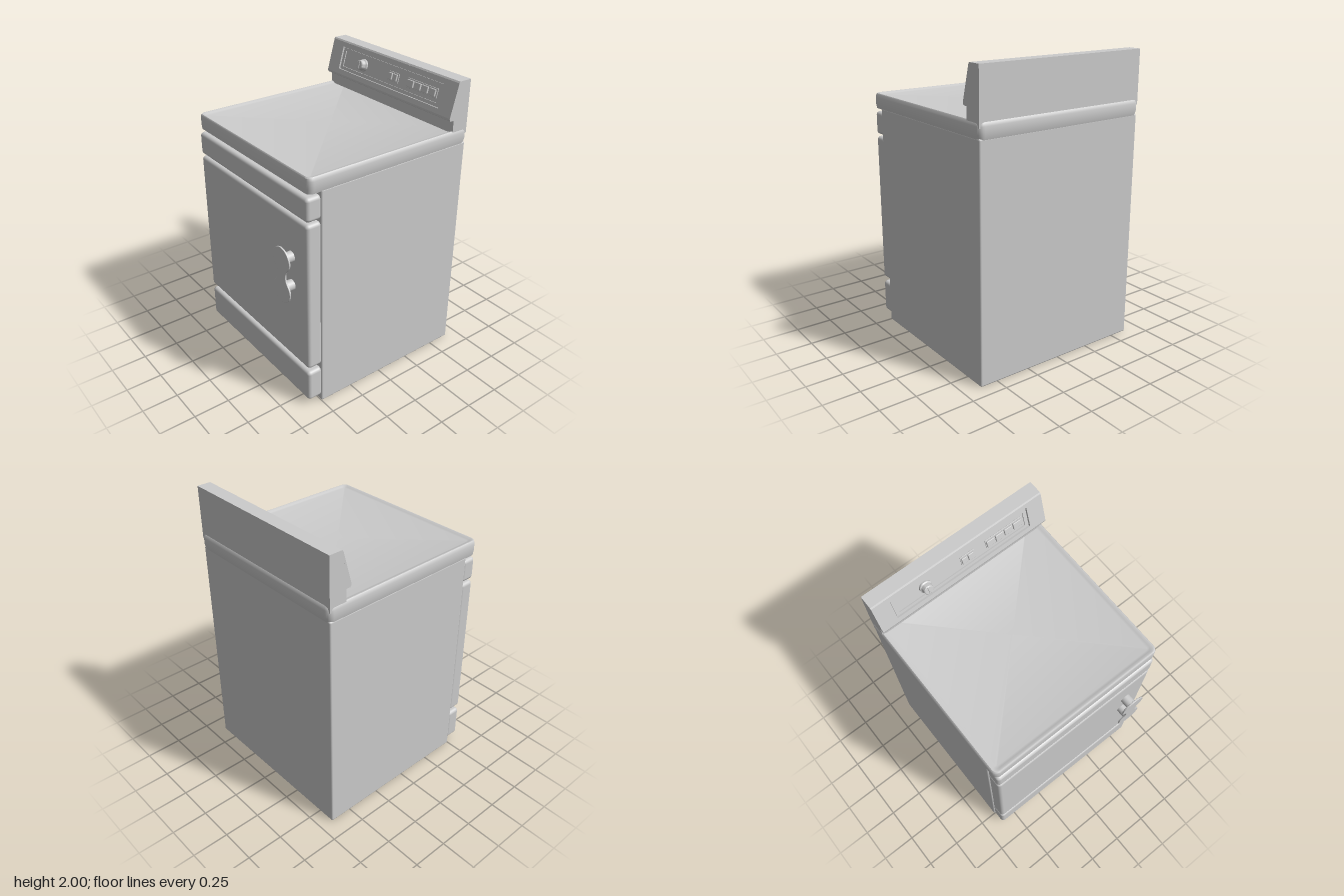
import * as THREE from 'three';
import { toCreasedNormals } from 'three/addons/utils/BufferGeometryUtils.js';
import { RoundedBoxGeometry } from 'three/addons/geometries/RoundedBoxGeometry.js';

const grey = new THREE.MeshStandardMaterial({ color: 0xcccccc });

function add(parent, name, geometry, x = 0, y = 0, z = 0) {
  const mesh = new THREE.Mesh(geometry, grey);
  mesh.name = name;
  mesh.position.set(x, y, z);
  parent.add(mesh);
  return mesh;
}

// Rounded box given by its limits
function addBox(parent, name, [x0, x1], [y0, y1], [z0, z1], r) {
  const geo = new RoundedBoxGeometry(x1 - x0, y1 - y0, z1 - z0, 4, r);
  return add(parent, name, geo, (x0 + x1) / 2, (y0 + y1) / 2, (z0 + z1) / 2);
}

function rectangle(x0, x1, y0, y1, Type = THREE.Shape) {
  const p = new Type();
  p.moveTo(x0, y0);
  p.lineTo(x1, y0);
  p.lineTo(x1, y1);
  p.lineTo(x0, y1);
  p.closePath();
  return p;
}

function extrude(shape, depth, bevel = 0) {
  return new THREE.ExtrudeGeometry(shape, {
    depth, curveSegments: 10, bevelEnabled: bevel > 0,
    bevelThickness: bevel, bevelSize: bevel, bevelOffset: -bevel, bevelSegments: 2,
  });
}

// Stack of rounded rectangles [x0, x1, halfZ, cornerRadius, y], capped at both ends
function loftRings(rings) {
  const steps = 6, n = 4 * (steps + 1), pos = [], index = [];
  for (const [x0, x1, hz, r, y] of rings) {
    for (let c = 0; c < 4; c++) {
      const cx = c === 0 || c === 3 ? x1 - r : x0 + r;
      const cz = c < 2 ? hz - r : r - hz;
      for (let s = 0; s <= steps; s++) {
        const a = (c + s / steps) * Math.PI / 2;
        pos.push(cx + r * Math.cos(a), y, cz + r * Math.sin(a));
      }
    }
  }
  const last = rings.length - 1, bottom = pos.length / 3, top = bottom + 1;
  for (const k of [0, last]) pos.push((rings[k][0] + rings[k][1]) / 2, rings[k][4], 0);
  for (let i = 0; i < n; i++) {
    const j = (i + 1) % n;
    for (let k = 0; k < last; k++) {
      const a = k * n + i, b = k * n + j;
      index.push(a, a + n, b, b, a + n, b + n);
    }
    index.push(bottom, i, j, top, last * n + j, last * n + i);
  }
  const geo = new THREE.BufferGeometry();
  geo.setAttribute('position', new THREE.Float32BufferAttribute(pos, 3));
  geo.setIndex(index);
  return toCreasedNormals(geo, 0.6);
}

function buildHandle() {
  const handle = new THREE.Group();
  handle.name = 'doorHandle';
  handle.position.set(-0.675, 0.987, 0.457);
  handle.rotation.y = -Math.PI / 2;

  // Plate with two round lobes and a narrow waist
  const s = new THREE.Shape();
  s.moveTo(0.04, 0);
  s.bezierCurveTo(0.04, 0.05, 0.087, 0.06, 0.087, 0.11);
  s.absarc(0, 0.108, 0.087, 0, Math.PI, false);
  s.bezierCurveTo(-0.087, 0.06, -0.04, 0.05, -0.04, 0);
  s.bezierCurveTo(-0.04, -0.05, -0.087, -0.06, -0.087, -0.108);
  s.absarc(0, -0.108, 0.087, Math.PI, Math.PI * 2, false);
  s.bezierCurveTo(0.087, -0.06, 0.04, -0.05, 0.04, 0);
  add(handle, 'handlePlate', extrude(s, 0.006, 0.003), 0, 0, -0.005);

  for (const y of [-0.101, 0.105]) {
    const stem = add(handle, 'handleStem', new THREE.CylinderGeometry(0.036, 0.036, 0.09, 24), 0, y, -0.047);
    stem.rotation.x = Math.PI / 2;
  }
  return handle;
}

function buildControls() {
  // Local x runs along the console, y up the slope, z out of it
  const controls = new THREE.Group();
  controls.name = 'controlPanel';
  const up = new THREE.Vector3(0.06, 0.22, 0).normalize();
  const out = new THREE.Vector3(-up.y, up.x, 0);
  controls.quaternion.setFromRotationMatrix(
    new THREE.Matrix4().makeBasis(new THREE.Vector3(0, 0, 1), up, out));
  controls.position.set(0.5, 1.77, 0);

  // Sloping face with a recessed window and an inner frame
  const face = rectangle(-0.628, 0.628, 0, 0.228);
  face.holes.push(rectangle(-0.51, 0.51, 0.035, 0.195, THREE.Path));
  add(controls, 'consoleFace', extrude(face, 0.015), 0, 0, -0.015);
  const frame = rectangle(-0.505, 0.505, 0.04, 0.19);
  frame.holes.push(rectangle(-0.48, 0.48, 0.06, 0.17, THREE.Path));
  add(controls, 'panelFrame', extrude(frame, 0.007), 0, 0, -0.015);

  // Dial with a flared skirt
  const profile = [[0, 0], [0.043, 0], [0.043, 0.012], [0.036, 0.018], [0.033, 0.044], [0.028, 0.048], [0, 0.048]];
  const dialGeo = toCreasedNormals(
    new THREE.LatheGeometry(profile.map(([r, y]) => new THREE.Vector2(r, y)), 28), 0.5);
  const dial = add(controls, 'dial', dialGeo, -0.27, 0.118, -0.015);
  dial.rotation.x = Math.PI / 2;
  addBox(controls, 'dialGrip', [-0.275, -0.265], [0.09, 0.146], [0.02, 0.037], 0.003);

  // Two groups of push buttons, each on its own backing
  const buttonGroups = [{ start: 0, count: 2, pitch: 0.048 }, { start: 0.19, count: 4, pitch: 0.068 }];
  for (const { start, count, pitch } of buttonGroups) {
    addBox(controls, 'buttonBacking', [start - 0.005, start + count * pitch + 0.003], [0.085, 0.15], [-0.016, -0.009], 0.002);
    for (let i = 0; i < count; i++) {
      const u = start + i * pitch;
      addBox(controls, 'button', [u, u + pitch - 0.008], [0.094, 0.141], [-0.012, 0.002], 0.004);
    }
  }
  return controls;
}

export function createModel() {
  const model = new THREE.Group();
  model.name = 'appliance';

  addBox(model, 'cabinet', [-0.5, 0.66], [0, 1.58], [-0.628, 0.628], 0.012);

  // Front panels
  const panels = [['lowerPanel', 0.045, 0.278], ['door', 0.31, 1.37], ['upperPanel', 1.385, 1.545]];
  for (const [name, y0, y1] of panels) {
    addBox(model, name, [-0.6, -0.49], [y0, y1], [-0.622, 0.622], 0.025);
  }
  model.add(buildHandle());

  // Worktop with a slim raised rim around a shallow dished surface
  add(model, 'worktop', loftRings([
    [-0.588, 0.662, 0.626, 0.035, 1.571],
    [-0.59, 0.67, 0.633, 0.04, 1.6],
    [-0.59, 0.67, 0.633, 0.04, 1.65],
    [-0.588, 0.665, 0.628, 0.038, 1.668],
    [-0.582, 0.659, 0.622, 0.035, 1.675],
    [-0.574, 0.653, 0.614, 0.03, 1.675],
    [-0.562, 0.645, 0.602, 0.025, 1.667],
    [-0.547, 0.635, 0.587, 0.015, 1.663],
  ]));

  // Rear console, notched where the sloping face sits
  const profile = [[0.66, 1.64], [0.66, 2], [0.567, 2], [0.56, 1.99], [0.5745, 1.986], [0.5145, 1.766],
    [0.5, 1.77], [0.503, 1.755], [0.51, 1.75], [0.537, 1.75], [0.537, 1.64]];
  const shape = new THREE.Shape(profile.map(([x, y]) => new THREE.Vector2(x, y)));
  add(model, 'console', extrude(shape, 1.256), 0, 0, -0.628);
  model.add(buildControls());

  return model;
}
